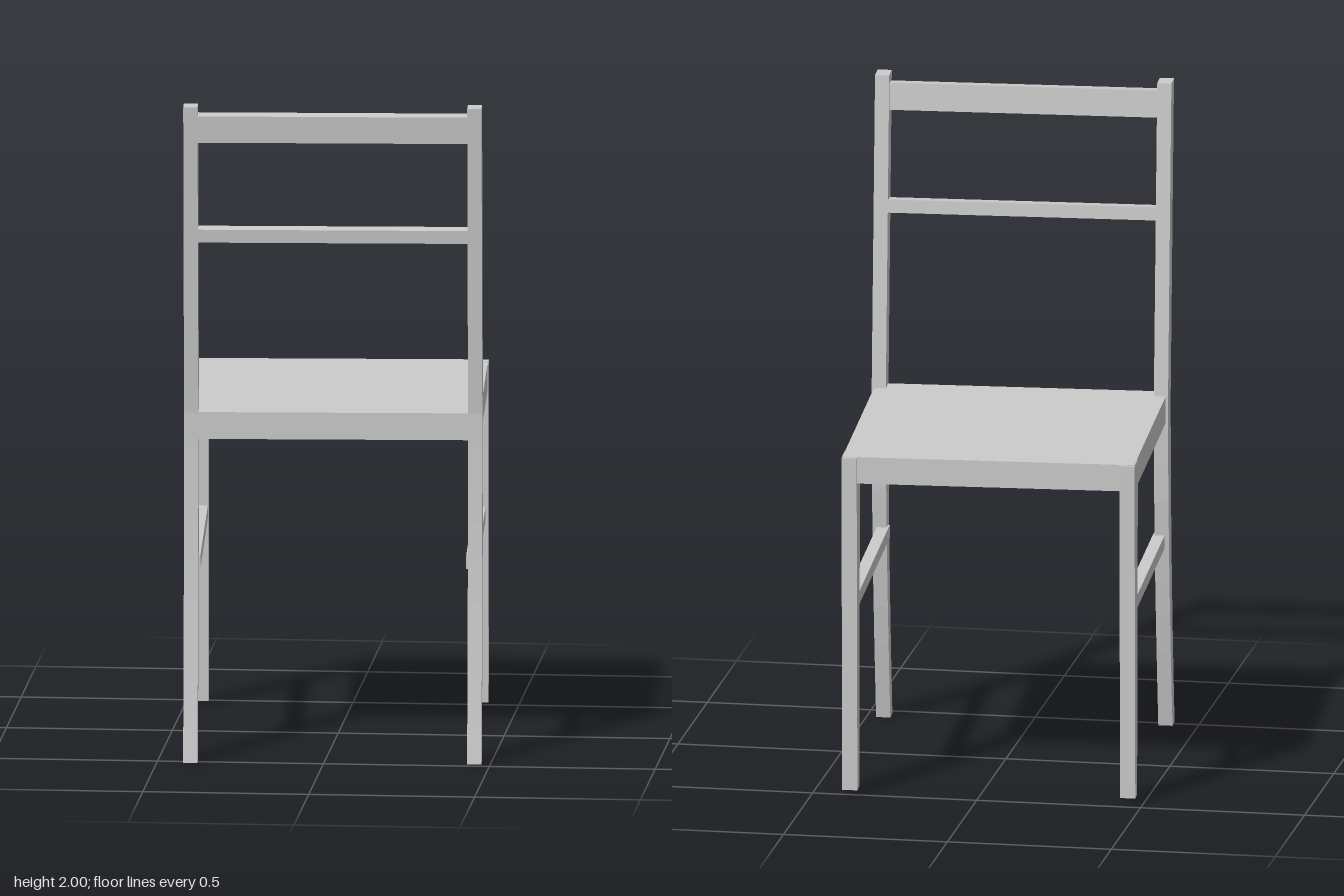
import * as THREE from 'three';

const material = new THREE.MeshStandardMaterial({ color: 0xcccccc, flatShading: true });

// A solid with a side profile of [z, y] points, running along x and centred on x
function sideProfile(name, points, width, x = 0) {
  const shape = new THREE.Shape(points.map(([z, y]) => new THREE.Vector2(z, y)));
  const geometry = new THREE.ExtrudeGeometry(shape, { depth: width, bevelEnabled: false });
  geometry.translate(0, 0, -width / 2);
  geometry.rotateY(-Math.PI / 2);
  const mesh = new THREE.Mesh(geometry, material);
  mesh.name = name;
  mesh.position.x = x;
  return mesh;
}

const SEAT_TOP = 1.052;
const LEAN = 0.0925; // backward lean of the backrest per unit of height

// Front face of a back post: swept back below the seat, leaning back above it
function postFront(y) {
  if (y > SEAT_TOP) return 0.33 + LEAN * (y - SEAT_TOP);
  return 0.33 + 0.116 * Math.pow(Math.max(0, 0.95 - y) / 0.95, 1.7);
}

function postDepth(y) {
  return y < 0.8 ? 0.054 + 0.016 * (y / 0.8) : 0.07 - 0.002 * (y - 0.8);
}

// Cross rail that leans with the posts
function backRail(name, y0, y1, inset, thickness) {
  const z0 = postFront(y0) + inset;
  const z1 = postFront(y1) + inset;
  const drop = LEAN * thickness;
  return sideProfile(name, [[z0, y0], [z0 + thickness, y0 - drop],
    [z1 + thickness, y1 - drop], [z1, y1]], 0.83);
}

export function createModel() {
  const model = new THREE.Group();
  model.name = 'chair';
  const frame = new THREE.Group();
  frame.name = 'chairFrame';
  frame.rotation.y = 0.061; // the chair stands slightly turned
  frame.position.x = -0.004;
  model.add(frame);

  // Seat slab
  frame.add(sideProfile('seat', [[-0.49, 0.97], [0.39, 0.97], [0.39, SEAT_TOP], [-0.49, SEAT_TOP]], 0.882));

  // Curved back post outline
  const heights = [0, 0.12, 0.24, 0.36, 0.48, 0.6, 0.72, 0.84, 0.95, SEAT_TOP, 2];
  const post = [
    ...heights.map((y) => [postFront(y), y]),
    ...heights.map((y) => [postFront(y) + postDepth(y), y]).reverse(),
  ];

  for (const [side, s] of [['left', 1], ['right', -1]]) {
    frame.add(sideProfile(side + 'BackPost', post, 0.043, s * 0.4265));
    // Tapered front leg
    frame.add(sideProfile(side + 'FrontLeg',
      [[-0.48, 0.015], [-0.431, 0.015], [-0.412, SEAT_TOP - 0.002], [-0.5, SEAT_TOP - 0.002]], 0.046, s * 0.42));
    // Side stretcher
    frame.add(sideProfile(side + 'Stretcher',
      [[-0.44, 0.575], [0.38, 0.575], [0.38, 0.615], [-0.44, 0.615]], 0.036, s * 0.417));
  }

  // Backrest rails
  frame.add(backRail('topRail', 1.893, 1.975, 0.012, 0.045));
  frame.add(backRail('middleRail', 1.582, 1.622, 0.009, 0.045));

  return model;
}
